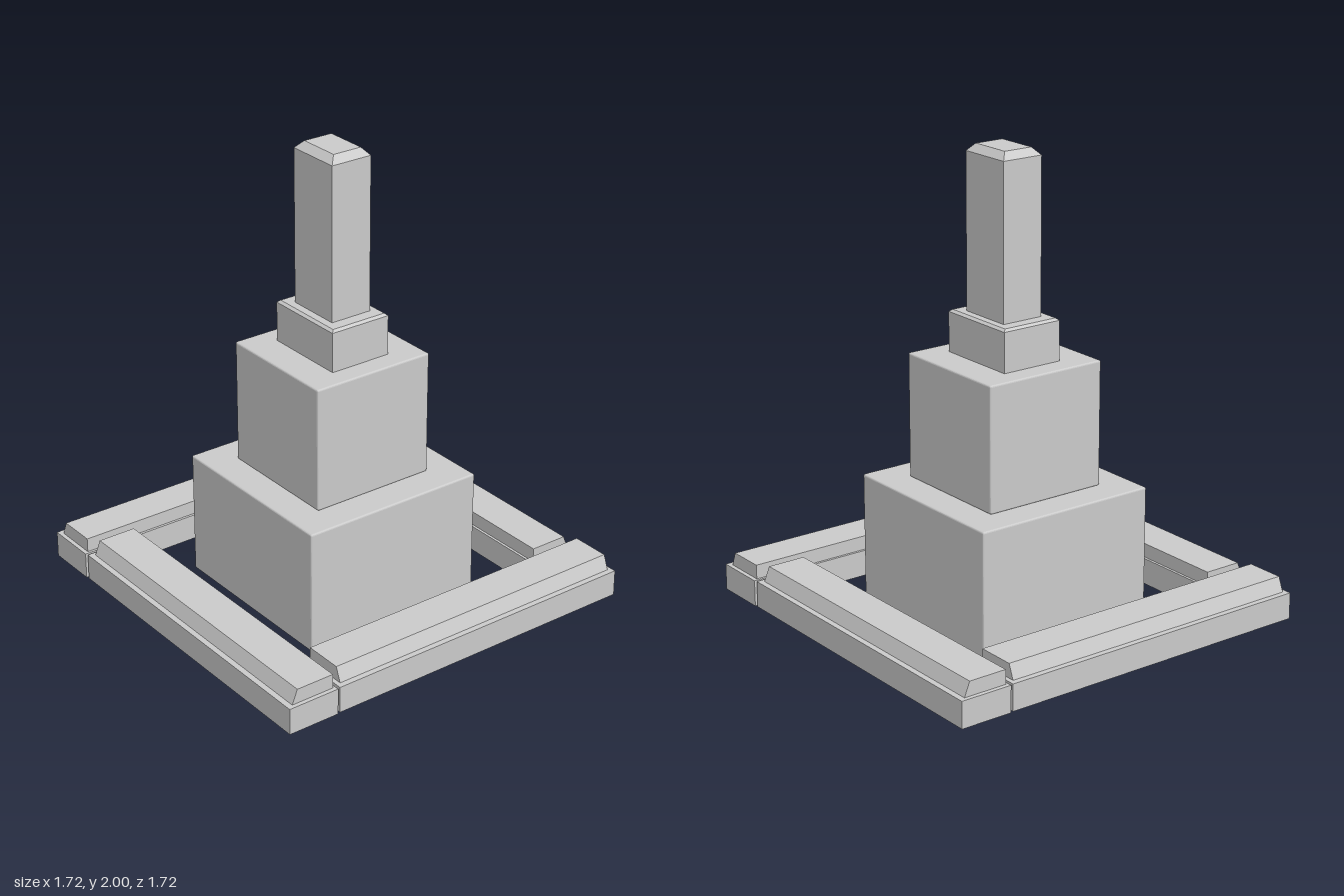
import * as THREE from 'three';
import { RoundedBoxGeometry } from 'three/addons/geometries/RoundedBoxGeometry.js';

const material = new THREE.MeshStandardMaterial({ color: 0xcccccc, flatShading: true });

function add(parent, name, geometry) {
  const mesh = new THREE.Mesh(geometry, material);
  mesh.name = name;
  parent.add(mesh);
  return mesh;
}

// Box given by its [min, max] extents, with softened edges when r > 0
function block([x0, x1], [y0, y1], [z0, z1], r = 0) {
  const size = [x1 - x0, y1 - y0, z1 - z0];
  const g = r ? new RoundedBoxGeometry(...size, 2, r) : new THREE.BoxGeometry(...size);
  return g.translate((x0 + x1) / 2, (y0 + y1) / 2, (z0 + z1) / 2);
}

// Box whose top face is pulled in to the given extents
function taperedBlock(xs, ys, zs, topX, topZ) {
  const g = block(xs, ys, zs);
  const p = g.attributes.position;
  const [mx, my, mz] = [xs, ys, zs].map(([a, b]) => (a + b) / 2);
  for (let i = 0; i < p.count; i++) {
    if (p.getY(i) < my) continue;
    p.setX(i, topX[p.getX(i) > mx ? 1 : 0]);
    p.setZ(i, topZ[p.getZ(i) > mz ? 1 : 0]);
  }
  g.computeVertexNormals();
  return g;
}

export function createModel() {
  const model = new THREE.Group();
  model.name = 'steppedTower';

  // Stepped tower
  const tower = new THREE.Group();
  tower.name = 'tower';
  add(tower, 'lowerBlock', block([-0.41, 0.445], [0, 0.555], [-0.415, 0.44], 0.008));
  add(tower, 'middleBlock', block([-0.27, 0.302], [0.553, 1.105], [-0.273, 0.3], 0.008));
  add(tower, 'upperBlock', block([-0.174, 0.208], [1.1, 1.28], [-0.13, 0.155]));
  add(tower, 'upperBlockBevel',
    taperedBlock([-0.174, 0.208], [1.28, 1.29], [-0.13, 0.155], [-0.162, 0.196], [-0.118, 0.143]));
  add(tower, 'shaft', block([-0.11, 0.143], [1.285, 1.968], [-0.085, 0.108]));
  add(tower, 'shaftCap',
    taperedBlock([-0.11, 0.143], [1.968, 2], [-0.085, 0.108], [-0.08, 0.113], [-0.057, 0.078]));
  model.add(tower);

  // Four wall rails, each turned a quarter so they pinwheel round the tower
  for (let i = 0; i < 4; i++) {
    const rail = new THREE.Group();
    rail.name = 'wallRail' + (i + 1);
    add(rail, 'railBase', block([-0.61, 0.862], [0, 0.117], [0.622, 0.858]));
    // Coping with its outer long edge sloped
    add(rail, 'railCoping',
      taperedBlock([-0.59, 0.843], [0.117, 0.18], [0.634, 0.832], [-0.59, 0.843], [0.634, 0.807]));
    rail.rotation.y = i * Math.PI / 2;
    model.add(rail);
  }
  return model;
}
